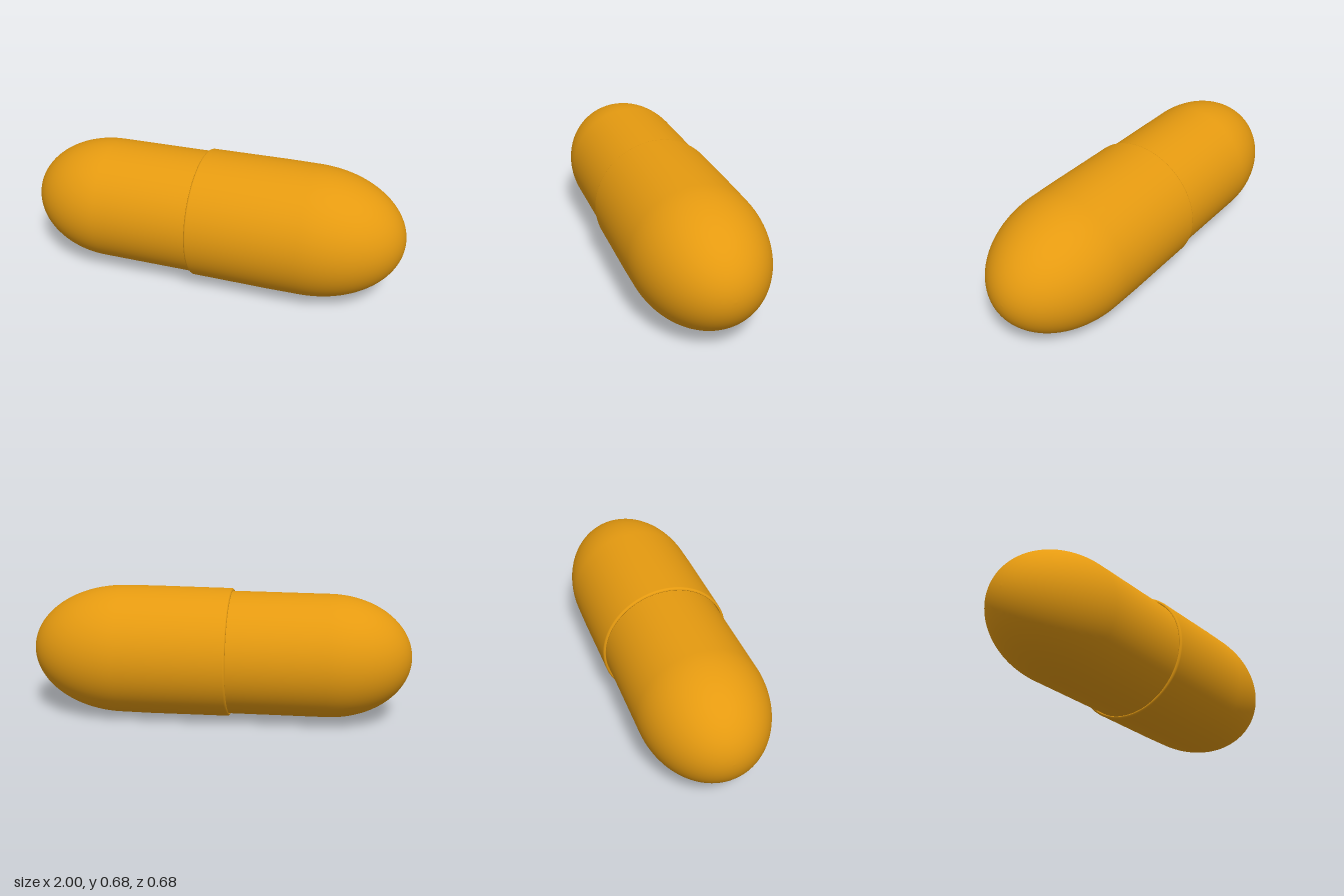
import * as THREE from 'three';

const SEGMENTS = 96;
const CENTRE_Y = 0.342;

// Quarter-ellipse profile from the tip (radius 0) to the full radius
function dome(tip, base, radius, steps = 28) {
  const points = [];
  for (let i = 0; i <= steps; i++) {
    const a = (i / steps) * Math.PI / 2;
    points.push(new THREE.Vector2(radius * Math.sin(a), base + (tip - base) * Math.cos(a)));
  }
  points[0].x = 0;
  return points;
}

// Revolve a profile (radius, position) around the x axis
function shell(name, profile, material) {
  const geometry = new THREE.LatheGeometry(profile, SEGMENTS);
  geometry.rotateZ(-Math.PI / 2);
  const mesh = new THREE.Mesh(geometry, material);
  mesh.name = name;
  mesh.position.y = CENTRE_Y;
  return mesh;
}

export function createModel() {
  const group = new THREE.Group();
  group.name = 'capsule';
  const material = new THREE.MeshStandardMaterial({ color: 0xe59a10, side: THREE.DoubleSide });

  // Narrower half, which slides inside the cap
  const body = [...dome(-1, -0.57, 0.322), new THREE.Vector2(0.324, -0.07), new THREE.Vector2(0.324, 0.1)];
  group.add(shell('body', body, material));

  // Rounded lip of the wider half
  const cap = [new THREE.Vector2(0.324, -0.05)];
  const lip = 0.012;
  for (let i = 0; i <= 8; i++) {
    const a = (i / 8) * Math.PI / 2;
    cap.push(new THREE.Vector2(0.326 + lip * Math.sin(a), -0.053 - lip * Math.cos(a)));
  }
  // Wall with a faint taper, then the domed end
  cap.push(new THREE.Vector2(0.339, 0.1), new THREE.Vector2(0.341, 0.35));
  cap.push(...dome(1, 0.51, 0.34).reverse());
  group.add(shell('cap', cap, material));

  return group;
}
